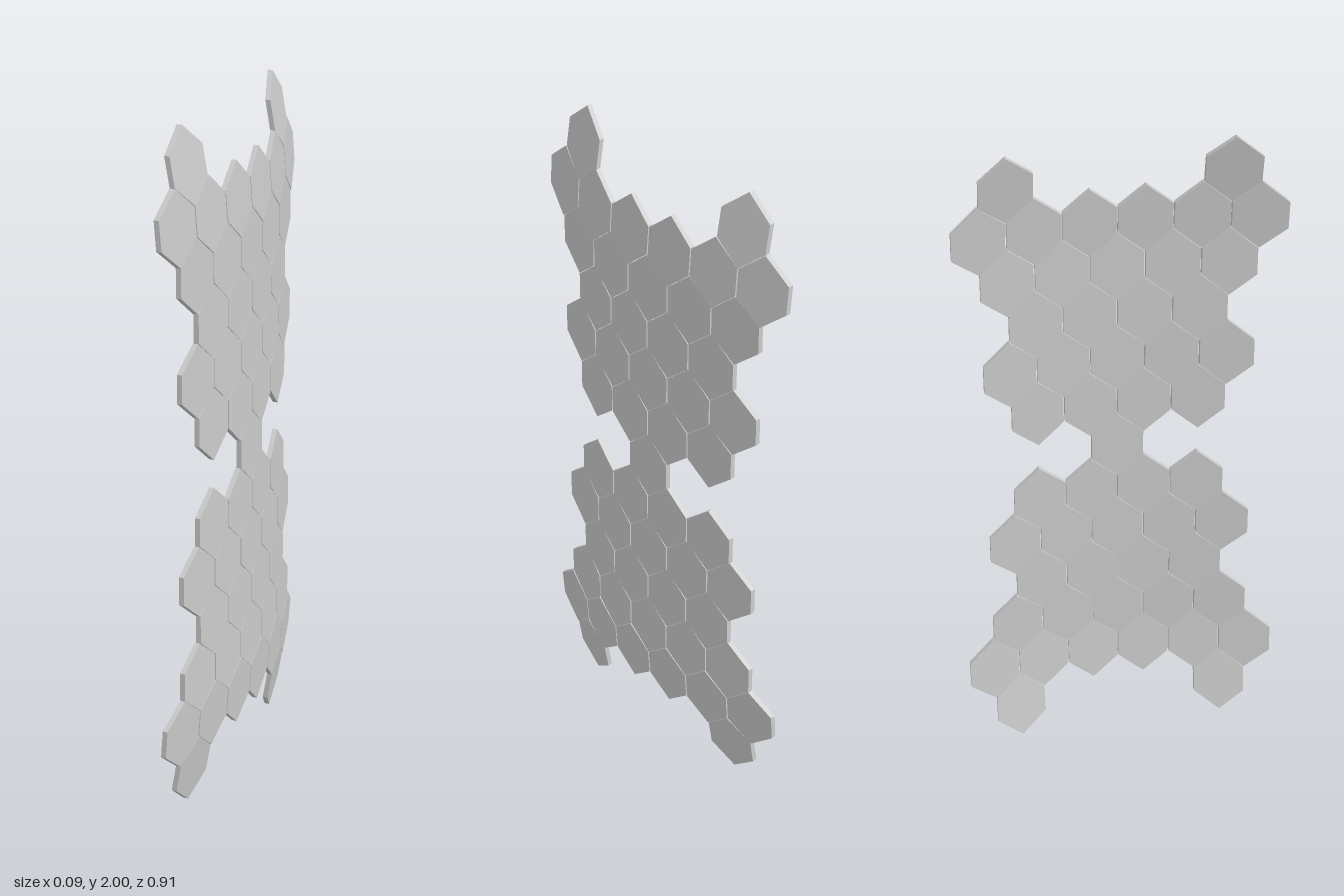
import * as THREE from 'three';

const PITCH_Z = 0.152, PITCH_Y = 0.149;       // tile spacing
const HALF_W = 0.074, HALF_H = 0.107, EDGE = 0.042; // tile half width, half height, half side edge
const THICK = 0.015;
const RADIUS = 1.69;                          // curve across the panel
const BEND = 0.33, BEND_START = 0.634;        // curl towards the top and bottom ends

// Columns of each row, counted outwards from the middle row
const ROWS = [
  [0],
  [0.5, 1.5],
  [0, 1, 2],
  [0.5, 1.5],
  [0, 1, 2],
  [0.5, 1.5, 2.5],
  [2],
];

// One flat hexagonal plate, tilted to lie tangent to the curved panel
function makeTile(y, z) {
  const shape = new THREE.Shape([
    [0, -HALF_H], [HALF_W, -EDGE], [HALF_W, EDGE],
    [0, HALF_H], [-HALF_W, EDGE], [-HALF_W, -EDGE],
  ].map(([a, b]) => new THREE.Vector2(a, b)));
  const geo = new THREE.ExtrudeGeometry(shape, { depth: THICK, bevelEnabled: false });
  geo.rotateY(Math.PI / 2);

  const over = Math.max(0, Math.abs(y) - BEND_START);
  const x = 0.04 - (z * z) / (2 * RADIUS) - BEND * over * over;
  const slopeZ = -z / RADIUS;
  const slopeY = -2 * BEND * over * Math.sign(y);
  const p = geo.attributes.position;
  for (let i = 0; i < p.count; i++) {
    p.setX(i, p.getX(i) - THICK + slopeZ * p.getZ(i) + slopeY * p.getY(i));
  }
  geo.computeVertexNormals();

  const tile = new THREE.Mesh(geo, new THREE.MeshStandardMaterial({ color: 0xcccccc, flatShading: true }));
  tile.position.set(x, 1 + y, z);
  tile.name = 'hexagonTile';
  return tile;
}

export function createModel() {
  const model = new THREE.Group();
  model.name = 'hexagonPanel';
  const halves = { upperTiles: 1, lowerTiles: -1 };
  for (const [name, up] of Object.entries(halves)) {
    const half = new THREE.Group();
    half.name = name;
    ROWS.forEach((cols, row) => {
      if (row === 0) return;
      for (const c of cols) {
        for (const side of c === 0 ? [1] : [1, -1]) {
          half.add(makeTile(up * row * PITCH_Y, side * c * PITCH_Z));
        }
      }
    });
    model.add(half);
  }
  // Single tile joining the two halves
  const link = makeTile(0, 0);
  link.name = 'centreTile';
  model.add(link);
  return model;
}
